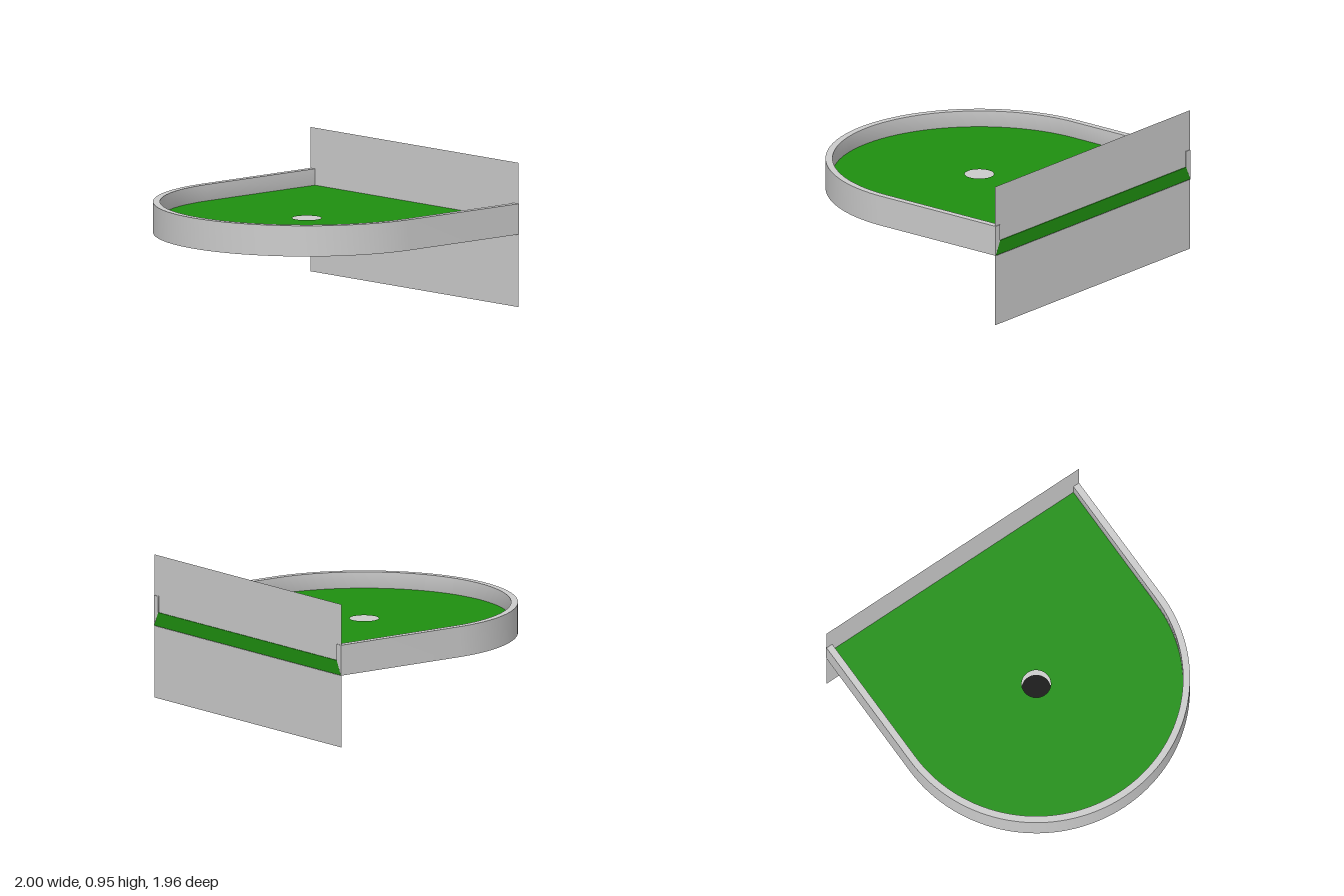
import * as THREE from 'three';
import { toCreasedNormals } from 'three/addons/utils/BufferGeometryUtils.js';

const BACK = -0.978, CENTRE = -0.022;   // straight end, centre of the round end
const BOTTOM = 0.478, FLOOR = 0.572, TOP = 0.68, INNER = 0.955;
const SEGMENTS = 64;

// U-shaped outline as [x, z], from the back left, round the front, to the back right
function outline() {
  const points = [[1, BACK]];
  for (let i = 0; i <= SEGMENTS; i++) {
    const a = Math.PI * i / SEGMENTS;
    points.push([Math.cos(a), CENTRE + Math.sin(a)]);
  }
  points.push([-1, BACK]);
  return points;
}

// Moves an outline point inwards, keeping the back end straight
const inset = (x, z, s) => [x * s, z > CENTRE ? CENTRE + (z - CENTRE) * s : z];

const outlineShape = () => new THREE.Shape(outline().map(([x, z]) => new THREE.Vector2(x, -z)));

// Rim swept round the outline; its lower part is mitred against the floor
function rimGeometry() {
  const section = [[1, BOTTOM], [1, TOP], [INNER, TOP], [INNER, FLOOR]];
  const rings = outline().map(([x, z]) => section.map(([s, y]) => {
    const [px, pz] = inset(x, z, s);
    return [px, y, pz];
  }));
  const positions = [];
  const quad = (a, b, c, d) => positions.push(...a, ...b, ...c, ...a, ...c, ...d);
  for (let i = 0; i < rings.length - 1; i++) {
    for (let j = 0; j < 4; j++) {
      const k = (j + 1) % 4;
      quad(rings[i][j], rings[i][k], rings[i + 1][k], rings[i + 1][j]);
    }
  }
  quad(...[...rings[0]].reverse());
  quad(...rings[rings.length - 1]);
  const geometry = new THREE.BufferGeometry();
  geometry.setAttribute('position', new THREE.Float32BufferAttribute(positions, 3));
  return toCreasedNormals(geometry, 0.5);
}

// Floor slab with a round hole and edges sloping in towards the top
function floorGeometry() {
  const shape = outlineShape();
  shape.holes.push(new THREE.Path().absarc(0, -CENTRE, 0.095, 0, Math.PI * 2, true));
  const geometry = new THREE.ExtrudeGeometry(shape, {
    depth: FLOOR - BOTTOM - 0.002, bevelEnabled: false, curveSegments: 32,
  });
  geometry.rotateX(-Math.PI / 2).translate(0, BOTTOM + 0.002, 0);
  const p = geometry.attributes.position;
  for (let i = 0; i < p.count; i++) {
    const x = p.getX(i), z = p.getZ(i);
    if (Math.hypot(x, z - CENTRE) < 0.2) continue;
    const [nx, nz] = inset(x, z, p.getY(i) > FLOOR - 0.01 ? INNER : 0.998);
    p.setXYZ(i, nx, p.getY(i), nz);
  }
  return toCreasedNormals(geometry, 0.5);
}

export function createModel() {
  const model = new THREE.Group();
  const grey = new THREE.MeshStandardMaterial({ color: 0xcccccc });
  const greySheet = new THREE.MeshStandardMaterial({ color: 0xcccccc, side: THREE.DoubleSide });
  const green = new THREE.MeshStandardMaterial({ color: 0x1f8f10 });
  const black = new THREE.MeshStandardMaterial({ color: 0x0c0c0c });

  const add = (name, geometry, material) => {
    const mesh = new THREE.Mesh(geometry, material);
    mesh.name = name;
    model.add(mesh);
    return mesh;
  };

  add('rim', rimGeometry(), grey);
  add('floor', floorGeometry(), green);

  // Underside, facing down
  const underside = new THREE.ShapeGeometry(outlineShape());
  underside.rotateX(-Math.PI / 2).translate(0, BOTTOM, 0);
  add('underside', underside, greySheet);

  // Dark bottom of the hole
  const holeBottom = add('holeBottom', new THREE.CircleGeometry(0.095, 48), black);
  holeBottom.rotation.x = -Math.PI / 2;
  holeBottom.position.set(0, BOTTOM + 0.004, CENTRE);

  // Thin upright panel that the tray's end just passes through
  const panel = add('backPanel', new THREE.PlaneGeometry(2, 0.95), greySheet);
  panel.position.set(0, 0.475, BACK + 0.006);

  return model;
}
